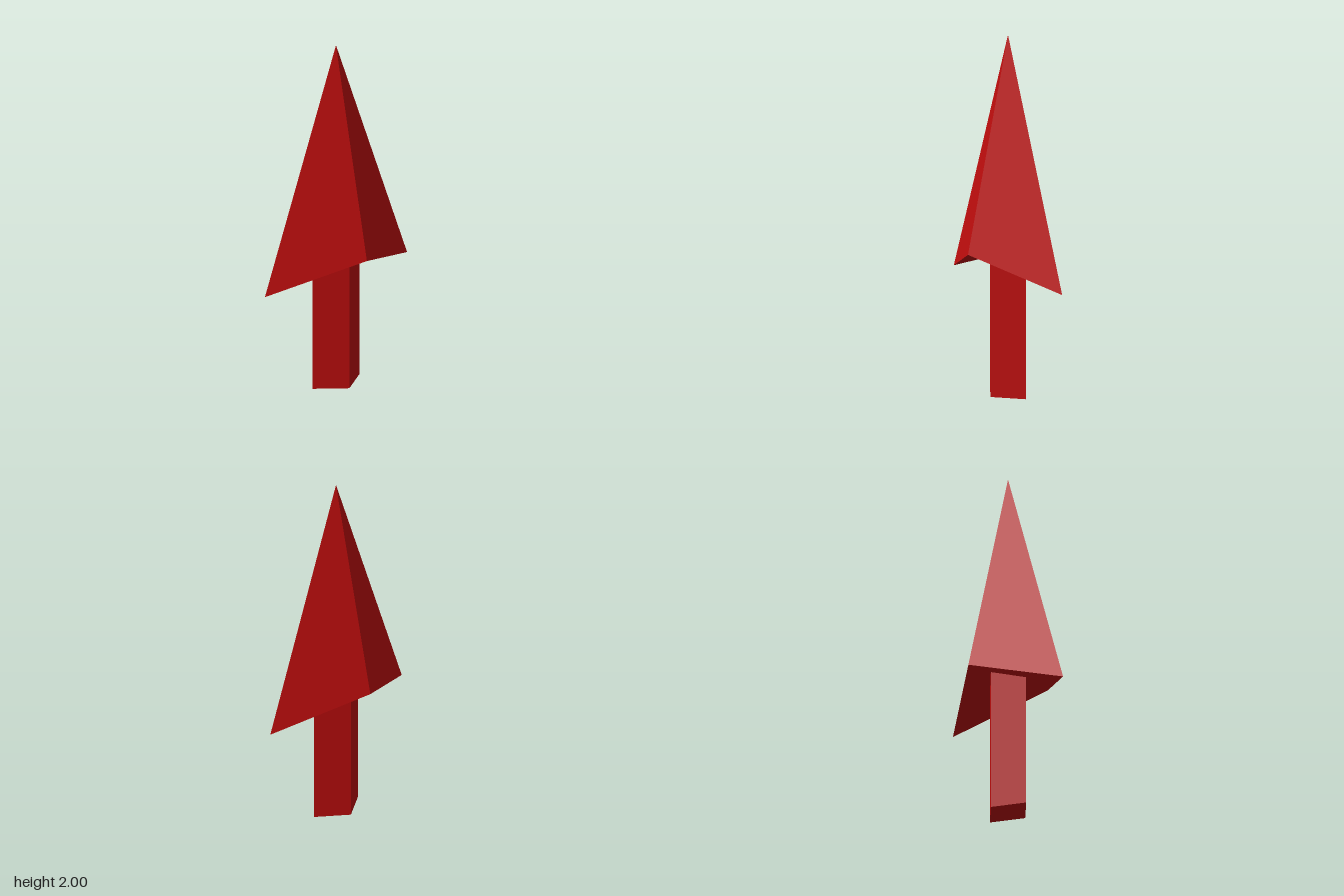
import * as THREE from 'three';

const material = new THREE.MeshStandardMaterial({ color: 0xc00d0d, flatShading: true });

export function createModel() {
  const group = new THREE.Group();

  // Shaft: diamond-section post, its top buried in the head
  const shaftHeight = 0.82;
  const shaftGeometry = new THREE.CylinderGeometry(1, 1, shaftHeight, 4);
  shaftGeometry.scale(0.163, 1, 0.118).translate(0, shaftHeight / 2, 0);
  const shaft = new THREE.Mesh(shaftGeometry, material);
  shaft.name = 'shaft';

  // Head: four-sided point whose underside folds down to the two side barbs
  const halfWidth = 0.492, foldY = 0.81, barbDrop = 0.175, tipY = 2;
  const headGeometry = new THREE.ConeGeometry(1, tipY - foldY, 4, 1);
  headGeometry.scale(halfWidth, 1, 0.272).translate(0, (tipY + foldY) / 2, 0);
  const position = headGeometry.attributes.position;
  for (let i = 0; i < position.count; i++) {
    const drop = barbDrop * Math.abs(position.getX(i)) / halfWidth;
    position.setY(i, position.getY(i) - drop);
  }
  headGeometry.computeVertexNormals();
  const head = new THREE.Mesh(headGeometry, material);
  head.name = 'arrowHead';

  group.add(shaft, head);
  return group;
}
